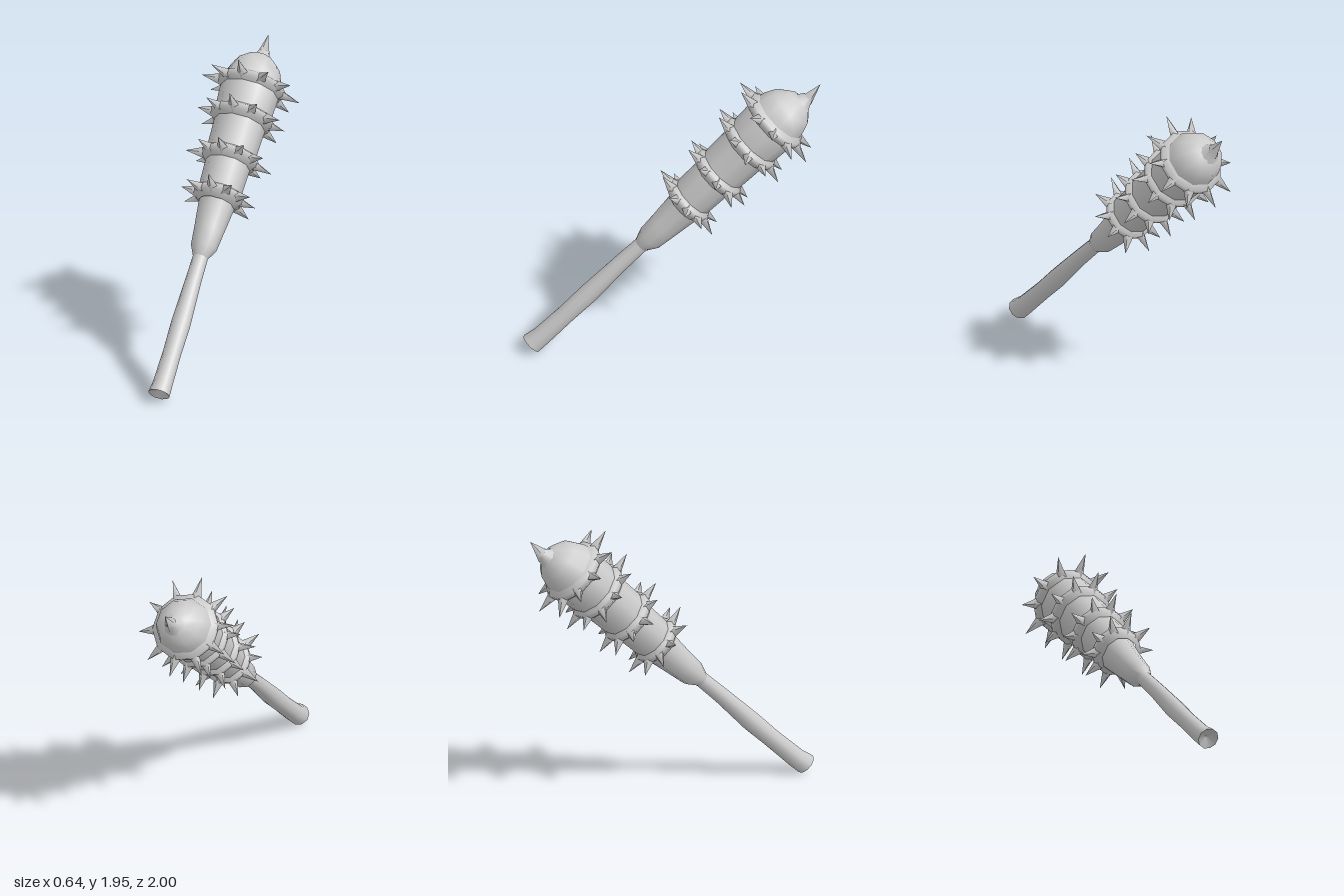
import * as THREE from 'three';

const SIDES = 10;
const steel = new THREE.MeshStandardMaterial({ color: 0xcccccc });

// Lathe from [radius, height, sideways offset] rows
function turned(name, rows) {
  const geo = new THREE.LatheGeometry(rows.map(([r, y]) => new THREE.Vector2(r, y)), SIDES);
  const pos = geo.attributes.position;
  for (let i = 0; i < pos.count; i++) {
    pos.setZ(i, pos.getZ(i) + (rows[i % rows.length][2] || 0));
  }
  const mesh = new THREE.Mesh(geo, steel);
  mesh.name = name;
  return mesh;
}

// Four-sided spike from a base point to a tip
function spike(name, base, tip, radius) {
  const dir = tip.clone().sub(base);
  const geo = new THREE.ConeGeometry(radius, dir.length(), 4, 1, true);
  geo.translate(0, dir.length() / 2, 0);
  const mesh = new THREE.Mesh(geo, steel);
  mesh.name = name;
  mesh.position.copy(base);
  mesh.quaternion.setFromUnitVectors(new THREE.Vector3(0, 1, 0), dir.normalize());
  return mesh;
}

// Spiked band round the club; height, body radius and spike reach
function spikedBand(height, radius, reach) {
  const band = new THREE.Group();
  band.name = 'spikedBand';
  band.position.y = height;
  band.add(turned('collar', [
    [radius - 0.02, -0.06], [radius + 0.028, -0.022],
    [radius + 0.032, 0.018], [radius - 0.02, 0.05],
  ]));
  for (let i = 0; i < SIDES; i++) {
    const a = (i / SIDES) * Math.PI * 2;
    const wobble = Math.sin(i * 2.4 + height * 9);
    const tipRadius = reach - 0.012 * (1 + wobble) * (i % 5 ? 1 : 0);
    const at = (r, y) => new THREE.Vector3(Math.sin(a) * r, y, Math.cos(a) * r);
    const lean = 0.018 * Math.cos(a) - 0.02 * Math.abs(Math.sin(a)) + 0.012 * wobble;
    band.add(spike('spike', at(radius - 0.01, -0.004), at(tipRadius, lean), 0.044));
  }
  return band;
}

export function createModel() {
  const model = new THREE.Group();
  model.name = 'spikedClub';

  // Everything is built upright, then leaned back
  const club = new THREE.Group();
  club.name = 'club';
  club.rotation.x = -Math.PI / 4;
  club.position.set(0, 0.495, 0.495);
  model.add(club);

  // Grip with a dished, flared end
  club.add(turned('handleEnd', [[0, -0.585, 0.01], [0.073, -0.63, 0.01]]));
  club.add(turned('handle', [
    [0.073, -0.63, 0.01], [0.066, -0.54, 0], [0.062, -0.3, -0.004],
    [0.066, -0.1, -0.005], [0.055, 0.2, 0], [0.051, 0.42, -0.003],
  ]));

  // Thick striking end, closed by a rounded head
  club.add(turned('body', [
    [0.051, 0.4, -0.003], [0.088, 0.48, -0.01], [0.1, 0.6, -0.012],
    [0.122, 0.8, -0.012], [0.146, 0.9], [0.152, 1.08], [0.168, 1.2],
    [0.174, 1.38], [0.192, 1.5], [0.2, 1.66], [0.185, 1.75],
  ]));
  club.add(turned('head', [
    [0.2, 1.68], [0.187, 1.76], [0.155, 1.84, -0.005],
    [0.085, 1.905, -0.012], [0, 1.93, -0.015],
  ]));

  // Bands of spikes, growing towards the head
  [
    [0.86, 0.142, 0.278], [1.145, 0.164, 0.298],
    [1.446, 0.186, 0.322], [1.685, 0.2, 0.35],
  ].forEach(([h, r, reach]) => club.add(spikedBand(h, r, reach)));

  // Flared spike on the crown
  club.add(turned('crownSpikeBase', [
    [0.085, 1.885, -0.03], [0.052, 1.93, -0.035], [0.036, 1.965, -0.04],
  ]));
  club.add(spike('crownSpike', new THREE.Vector3(0, 1.925, -0.045),
    new THREE.Vector3(0, 2.086, -0.03), 0.052));
  return model;
}
